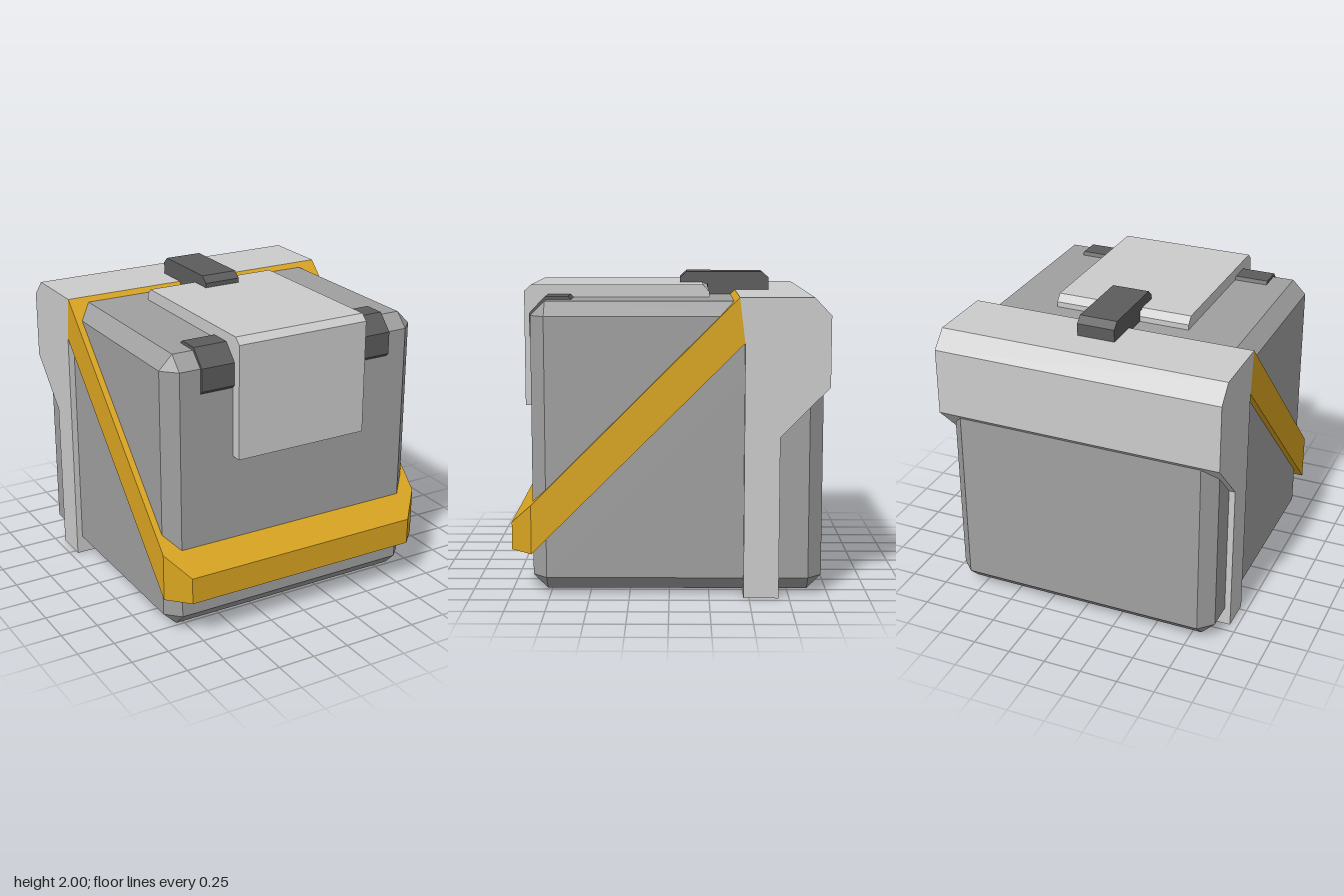
import * as THREE from 'three';
import { ConvexGeometry } from 'three/addons/geometries/ConvexGeometry.js';

const material = (color) => new THREE.MeshStandardMaterial({ color, flatShading: true });

// Extrudes a [z, y] side profile across x, centred on cx
function profileGeometry(points, width, cx = 0) {
  const shape = new THREE.Shape(points.map(([z, y]) => new THREE.Vector2(-z, y)));
  return new THREE.ExtrudeGeometry(shape, { depth: width, bevelEnabled: false })
    .rotateY(Math.PI / 2)
    .translate(cx - width / 2, 0, 0);
}

// Box with every edge cut at 45 degrees
function chamferedBox(w, h, d, c) {
  const points = [];
  for (const sx of [-1, 1]) for (const sy of [-1, 1]) for (const sz of [-1, 1]) {
    for (let axis = 0; axis < 3; axis++) {
      const size = [w / 2 - c, h / 2 - c, d / 2 - c];
      size[axis] += c;
      points.push(new THREE.Vector3(sx * size[0], sy * size[1], sz * size[2]));
    }
  }
  return new ConvexGeometry(points);
}

export function createModel() {
  const group = new THREE.Group();
  const light = material(0xcccccc);
  const grey = material(0xa0a0a0);
  const dark = material(0x5c5c5c);
  const gold = material(0xdaa520);

  const add = (name, geometry, mat) => {
    const mesh = new THREE.Mesh(geometry, mat);
    mesh.name = name;
    group.add(mesh);
  };

  // Main box
  add('body', chamferedBox(1.82, 1.82, 1.82, 0.09).translate(0, 0.94, -0.05), grey);

  // Rear frame with overhanging hood
  add('rearFrame', profileGeometry([
    [-0.465, 0], [-0.465, 1.6], [-0.43, 1.88], [-0.885, 1.88],
    [-0.99, 1.77], [-0.99, 1.33], [-0.685, 1.02], [-0.685, 0],
  ], 1.9), light);

  // Diagonal band, its front corners cut off
  const bandSection = [
    [0.82, 0.28, 0.995], [0.82, 0.455, 0.995],
    [0.95, 0.28, 0.86], [0.95, 0.59, 0.86],
    [0.95, 1.88, -0.43], [0.95, 1.6, -0.465],
  ];
  const bandPoints = [-1, 1].flatMap((s) =>
    bandSection.map(([x, y, z]) => new THREE.Vector3(s * x, y, z)));
  add('diagonalBand', new ConvexGeometry(bandPoints), gold);

  // Flap folded over the top and down the front
  add('flap', profileGeometry([
    [0.935, 1.15], [0.935, 1.89], [0.89, 1.93], [-0.215, 1.93],
    [-0.255, 1.885], [-0.255, 1.78], [0.8, 1.78], [0.8, 1.15],
  ], 0.914), light);

  // Front clasps beside the flap
  const claspProfile = [
    [0.86, 1.6], [0.88, 1.62], [0.88, 1.765], [0.78, 1.87],
    [0.635, 1.87], [0.615, 1.85], [0.615, 1.75], [0.8, 1.6],
  ];
  for (const [name, side] of [['leftClasp', 1], ['rightClasp', -1]]) {
    add(name, profileGeometry(claspProfile, 0.25, side * 0.555), dark);
  }

  // Top latch joining flap and hood
  add('topLatch', profileGeometry([
    [-0.065, 1.92], [-0.065, 1.96], [-0.11, 2], [-0.61, 2],
    [-0.655, 1.96], [-0.655, 1.87], [-0.43, 1.84], [-0.25, 1.84], [-0.25, 1.92],
  ], 0.25), dark);

  return group;
}
